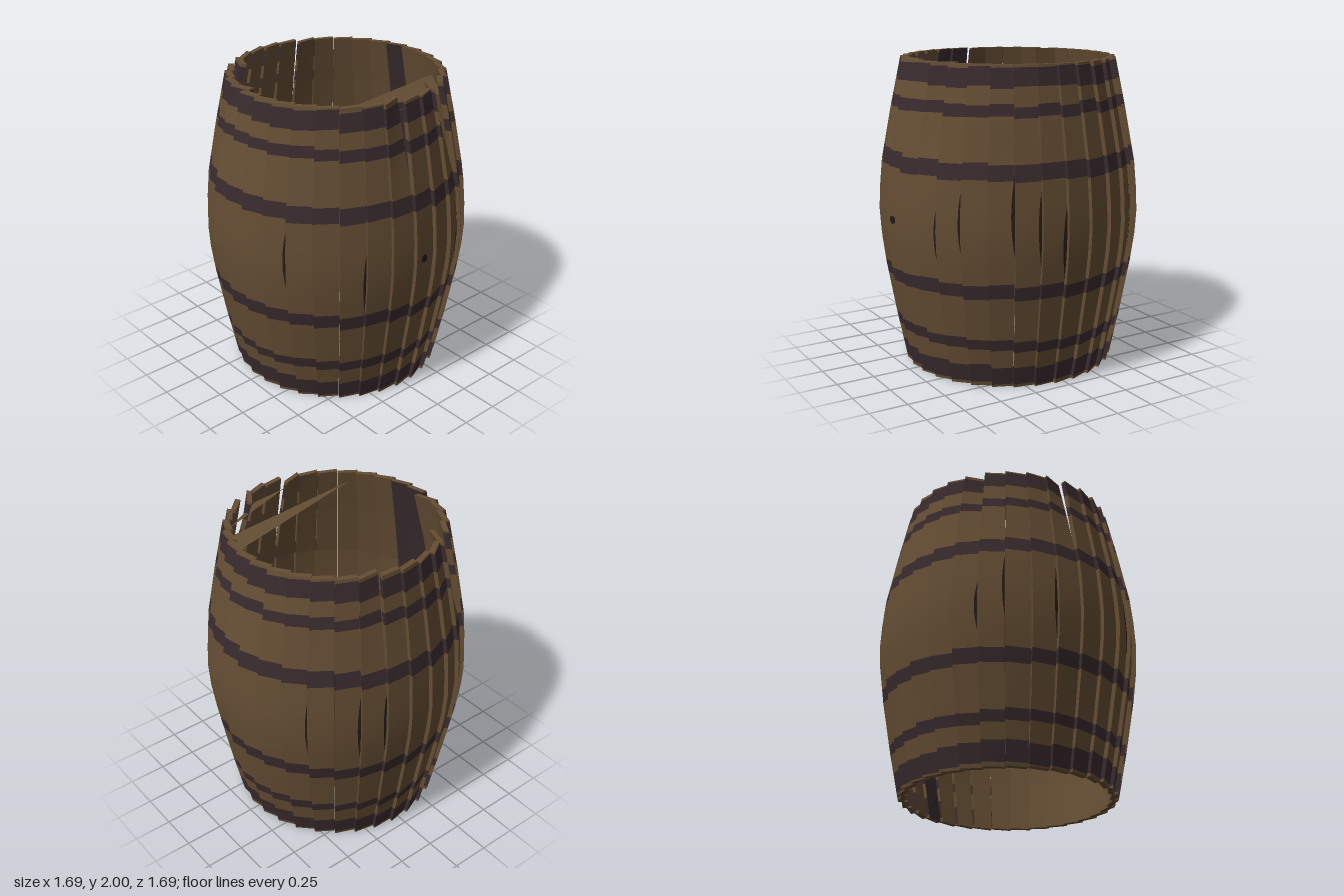
import * as THREE from 'three';

const COUNT = 32;
const STEP = (Math.PI * 2) / COUNT;
const PROFILE = [[0, 0.69], [0.33, 0.757], [0.67, 0.817], [0.85, 0.841], [1, 0.85], [1.15, 0.843], [1.33, 0.826], [1.67, 0.761], [2, 0.69]];
const BANDS = [[0.02, 0.14], [0.25, 0.32], [0.6, 0.69], [1.33, 1.43], [1.7, 1.77], [1.87, 1.985]];

// small seeded generator for wear and jitter
function makeRandom(seed) {
  return () => {
    seed = (seed * 16807) % 2147483647;
    return seed / 2147483647;
  };
}

function radiusAt(y) {
  for (let k = 1; k < PROFILE.length; k++) {
    const [y0, r0] = PROFILE[k - 1], [y1, r1] = PROFILE[k];
    if (y <= y1) return r0 + ((r1 - r0) * (y - y0)) / (y1 - y0);
  }
  return PROFILE[PROFILE.length - 1][1];
}

// angle runs clockwise seen from above, starting at the back
const polar = (a, r, y) => new THREE.Vector3(r * Math.sin(a), y, -r * Math.cos(a));

// the four corners of a stave at one height: outer, outer recessed, inner, inner
function corners(i, y, sink) {
  const a0 = (i - 0.5) * STEP, a1 = (i + 0.5) * STEP - 0.003;
  const r = radiusAt(y);
  const fold = sink * Math.max(0, (y - 1.4) / 0.6);
  return [
    polar(a1, r, y), polar(a0, r - 0.026 - fold, y),
    polar(a0, r - 0.06 - fold, y), polar(a1, r - 0.038, y),
  ];
}

function staveGeometry(i, bands, sink, darkInside) {
  const ys = [...new Set([...PROFILE.map((p) => p[0]), ...bands.flat()])].sort((a, b) => a - b);
  const rows = ys.map((y) => corners(i, y, sink));
  const positions = [];
  const wood = [], iron = [];
  const push = (v) => positions.push(v.x, v.y, v.z) / 3 - 1;

  // four long sides, smooth along the height and sharp between sides
  for (let s = 0; s < 4; s++) {
    const ids = rows.map((row) => [push(row[s]), push(row[(s + 1) % 4])]);
    for (let k = 0; k + 1 < ids.length; k++) {
      const mid = (ys[k] + ys[k + 1]) / 2;
      const banded = s === 2 ? darkInside : bands.some(([lo, hi]) => mid > lo && mid < hi);
      const [a, b] = ids[k], [d, c] = ids[k + 1];
      (banded ? iron : wood).push(a, b, c, a, c, d);
    }
  }
  // end grain
  const top = rows[rows.length - 1].map(push);
  const bottom = rows[0].map(push);
  wood.push(top[0], top[1], top[2], top[0], top[2], top[3]);
  wood.push(bottom[2], bottom[1], bottom[0], bottom[3], bottom[2], bottom[0]);

  const g = new THREE.BufferGeometry();
  g.setAttribute('position', new THREE.Float32BufferAttribute(positions, 3));
  g.setIndex([...wood, ...iron]);
  g.addGroup(0, wood.length, 0);
  g.addGroup(wood.length, iron.length, 1);
  g.computeVertexNormals();
  return g;
}

// narrow tapered slit lying along the recessed edge of a stave
function crackGeometry(i, low, high, width) {
  const positions = [], index = [];
  const n = 8;
  for (let k = 0; k <= n; k++) {
    const y = low + ((high - low) * k) / n;
    const [o1, o0] = corners(i, y, 0);
    const out = polar(i * STEP, 0.004, 0);
    const edge = o0.clone().lerp(o1, width * Math.sin((Math.PI * k) / n)).add(out);
    o0.add(out);
    positions.push(edge.x, edge.y, edge.z, o0.x, o0.y, o0.z);
    if (k < n) {
      const a = k * 2;
      index.push(a, a + 1, a + 3, a, a + 3, a + 2);
    }
  }
  const g = new THREE.BufferGeometry();
  g.setAttribute('position', new THREE.Float32BufferAttribute(positions, 3));
  g.setIndex(index);
  g.computeVertexNormals();
  return g;
}

export function createModel() {
  const group = new THREE.Group();
  group.name = 'barrel';
  const make = (name, color) => {
    const m = new THREE.MeshStandardMaterial({ color, side: THREE.DoubleSide });
    m.name = name;
    return m;
  };
  const wood = make('wood', 0x644d33);
  const iron = make('darkHoop', 0x382a2d);
  const shadow = make('crack', 0x241b14);
  const add = (name, geometry, material) => {
    const mesh = new THREE.Mesh(geometry, material);
    mesh.name = name;
    group.add(mesh);
    return mesh;
  };
  const random = makeRandom(4217);

  // staves with worn hoop bands; a few are folded inward at the top
  const folded = { 2: 0.03, 14: 0.06, 17: 0.05, 25: 0.04, 29: 0.06 };
  for (let i = 0; i < COUNT; i++) {
    const bands = BANDS.map(([lo, hi]) => {
      const shift = (random() - 0.5) * 0.02;
      return [Math.max(0.005, lo + shift), Math.min(1.99, hi + shift + (random() - 0.5) * 0.014)];
    });
    const darkInside = random() < 0.15;
    add('stave', staveGeometry(i, bands, folded[i] || 0, darkInside), [wood, iron]);

    // weathered gaps
    if (random() < 0.5) {
      const low = 0.7 + random() * 0.2;
      add('crack', crackGeometry(i, low, low + 0.3 + random() * 0.2, 0.08 + random() * 0.08), shadow);
    }
  }

  // bung hole on the front
  const bung = add('bungHole', new THREE.CylinderGeometry(0.026, 0.026, 0.008, 10), shadow);
  bung.rotation.set(Math.PI / 2, 0, -0.15);
  bung.position.set(-0.01, 1.01, 0.835);

  // loose splinters spanning the open top
  const splinters = [
    [-0.48, 1.93, 0.455, 0.48, 1.85, 0.455, 0.63, 1.88, 0.22],
    [-0.08, 1.93, 0.64, 0.17, 1.92, 0.62, 0.47, 1.9, 0.47],
  ];
  for (const points of splinters) {
    const g = new THREE.BufferGeometry();
    g.setAttribute('position', new THREE.Float32BufferAttribute(points, 3));
    g.computeVertexNormals();
    add('splinter', g, wood);
  }
  return group;
}
